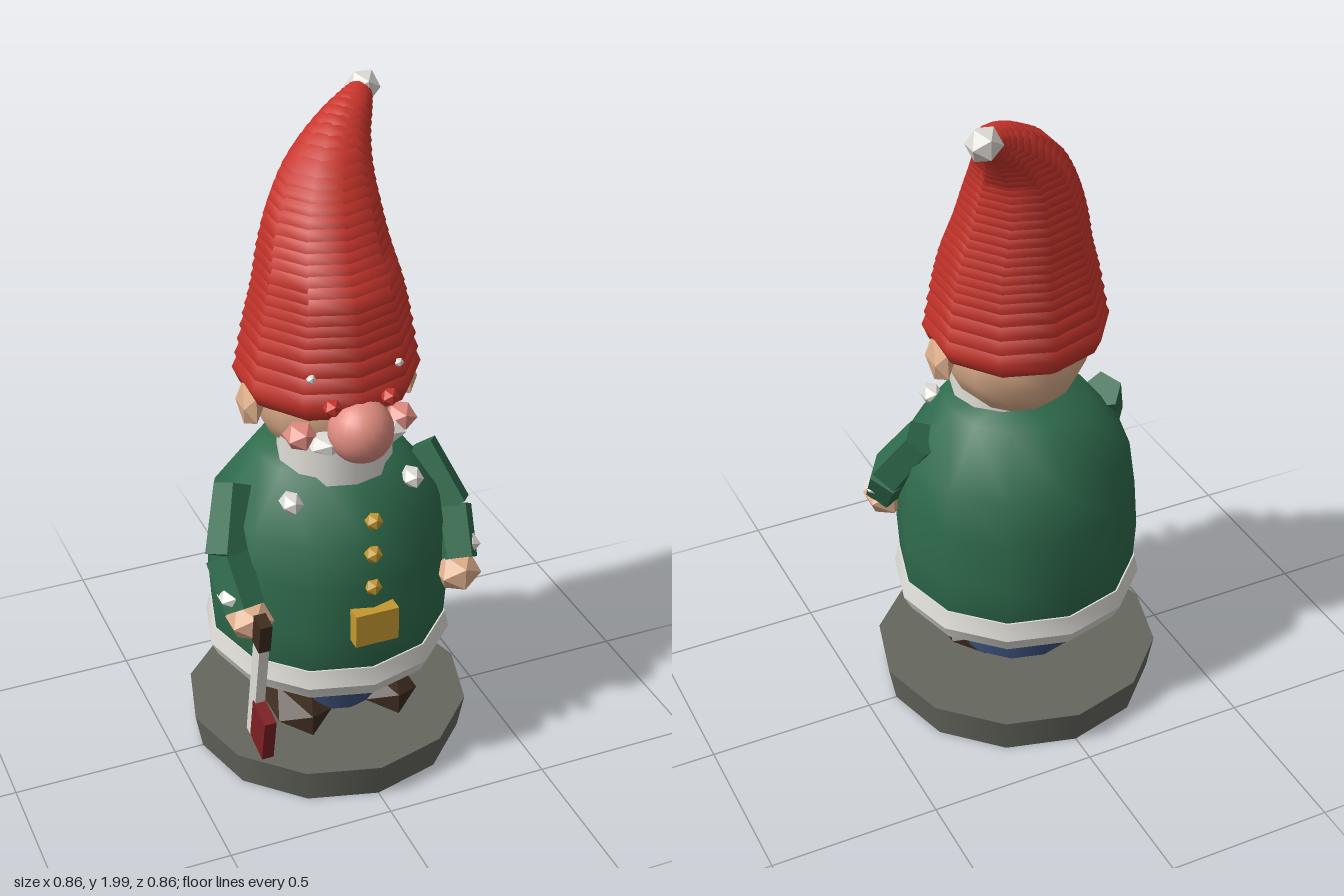
import * as THREE from 'three';
import { toCreasedNormals } from 'three/addons/utils/BufferGeometryUtils.js';

const material = (name, color) => {
  const m = new THREE.MeshStandardMaterial({ color });
  m.name = name;
  return m;
};
const V = (x, y, z) => new THREE.Vector3(x, y, z);

export function createModel() {
  const green = material('coat green', 0x2f6b4c);
  green.side = THREE.DoubleSide;
  const red = material('hat red', 0xc9352c);
  const white = material('white', 0xdfddd7);
  const skin = material('skin', 0xdfb08d);
  const pink = material('rosy pink', 0xe08c80);
  const blue = material('trouser blue', 0x3b4f78);
  const brown = material('dark brown', 0x3d2b1e);
  const grey = material('stone grey', 0x65665e);
  const gold = material('gold', 0xc4982f);
  const darkRed = material('dark red', 0x7d2024);

  const model = new THREE.Group();
  const add = (name, geometry, mat, x = 0, y = 0, z = 0, parent = model) => {
    const mesh = new THREE.Mesh(geometry, mat);
    mesh.name = name;
    mesh.position.set(x, y, z);
    parent.add(mesh);
    return mesh;
  };
  // faceted lump with its own width, height and depth radii
  const lump = (name, mat, x, y, z, rx, ry = rx, rz = rx) =>
    add(name, new THREE.IcosahedronGeometry(1, 0).scale(rx, ry, rz), mat, x, y, z);
  const lathe = (name, mat, points, crease) => {
    const g = new THREE.LatheGeometry(points.map(p => new THREE.Vector2(...p)), 12);
    return add(name, toCreasedNormals(g, crease), mat);
  };
  // five-sided limb between two points
  const limb = (name, mat, a, b, ra, rb) => {
    const dir = b.clone().sub(a);
    const g = toCreasedNormals(new THREE.CylinderGeometry(rb, ra, dir.length(), 5), 0.1);
    const mid = a.clone().add(b).multiplyScalar(0.5);
    const mesh = add(name, g, mat, mid.x, mid.y, mid.z);
    mesh.quaternion.setFromUnitVectors(V(0, 1, 0), dir.normalize());
  };

  // plinth and trousers
  add('base', new THREE.CylinderGeometry(0.43, 0.41, 0.11, 12), grey, 0, 0.055, 0);
  add('trousers', new THREE.CylinderGeometry(0.21, 0.195, 0.24, 12), blue, 0, 0.285, 0);

  // coat with white hem
  lathe('coat', green, [[0.33, 0.36], [0.355, 0.43], [0.362, 0.55], [0.352, 0.7],
    [0.333, 0.84], [0.21, 1.0], [0, 1.01]], 0.9);
  lathe('hem', white, [[0.35, 0.33], [0.372, 0.375], [0.36, 0.43], [0.33, 0.43],
    [0.3, 0.375], [0.32, 0.33], [0.35, 0.33]], 0.55);

  // head, beard and nose
  add('head', new THREE.SphereGeometry(0.212, 12, 10), skin, 0, 1.185, 0);
  add('beard', new THREE.CylinderGeometry(0.165, 0.17, 0.25, 12), white, 0, 1.0, 0.06);
  add('nose', new THREE.SphereGeometry(0.093, 20, 14), pink, 0, 1.165, 0.25);

  // hat: squashed ten-sided rings stacked along a bending path
  const stations = [[0, 1.25, 0, 0.268], [0.005, 1.4, -0.01, 0.24], [0.01, 1.5, -0.022, 0.216],
    [0.01, 1.6, -0.045, 0.19], [0.02, 1.7, -0.07, 0.163], [0.045, 1.79, -0.105, 0.131],
    [0.1, 1.865, -0.16, 0.093], [0.165, 1.92, -0.215, 0.058], [0.21, 1.945, -0.26, 0.033]];
  const path = new THREE.CatmullRomCurve3(stations.map(([x, y, z]) => V(x, y, z)));
  const hat = new THREE.Group();
  hat.name = 'hat';
  model.add(hat);
  const rings = 30;
  for (let i = 0; i < rings; i++) {
    const t = i / (rings - 1), k = t * (stations.length - 1);
    const j = Math.min(Math.floor(k), stations.length - 2);
    const r = THREE.MathUtils.lerp(stations[j][3], stations[j + 1][3], k - j);
    const g = new THREE.SphereGeometry(r, 10, 8).rotateY(Math.PI / 2).scale(1, 0.45 + 0.5 * t * t, 1);
    const p = path.getPoint(t);
    add('hatRing', g, red, p.x, p.y, p.z, hat);
  }
  lump('pompom', white, 0.22, 1.95, -0.27, 0.051);

  // paired parts
  for (const s of [1, -1]) {
    lump('boot', brown, s * 0.14, 0.165, 0.08, 0.1, 0.064, 0.185);
    lump('ear', skin, s * 0.235, 1.175, 0.005, 0.035, 0.075, 0.068);
    lump('cheek', pink, s * 0.15, 1.14, 0.175, 0.05, 0.042, 0.055);
    lump('moustache', white, s * 0.09, 1.125, 0.215, 0.06, 0.028, 0.055);
    lump('eye', red, s * 0.085, 1.252, 0.25, 0.028);
    lump('eyebrow', white, s * 0.13, 1.33, 0.208, 0.014);
    lump('collarTuft', white, s * 0.185, 0.938, 0.19, 0.034, 0.032, 0.045);
    const elbow = V(s * 0.35, 0.755, 0.115);
    limb('upperArm', green, V(s * 0.29, 0.92, 0.01), elbow, 0.06, 0.068);
    limb('forearm', green, elbow, V(s * 0.335, 0.63, 0.21), 0.068, 0.062);
    lump('cuff', white, s * 0.37, 0.667, 0.19, 0.042, 0.03, 0.045);
    lump('hand', skin, s * 0.327, 0.6, 0.222, 0.072, 0.065, 0.07);
  }

  // buttons and buckle
  for (const y of [0.925, 0.815, 0.705]) lump('button', gold, 0, y, 0.347, 0.027);
  add('buckle', new THREE.BoxGeometry(0.132, 0.105, 0.045), gold, 0, 0.587, 0.362);

  // tilted hand tool: shaft, grip and head
  const tool = new THREE.Group();
  tool.name = 'tool';
  tool.position.set(-0.322, 0.375, 0.262);
  tool.rotation.x = 0.2;
  model.add(tool);
  add('shaft', new THREE.BoxGeometry(0.03, 0.38, 0.05), white, 0, 0, 0, tool);
  add('grip', new THREE.BoxGeometry(0.036, 0.1, 0.055), brown, 0, 0.235, 0, tool);
  add('toolHead', new THREE.BoxGeometry(0.036, 0.15, 0.1), darkRed, 0, -0.105, 0.062, tool);

  return model;
}
